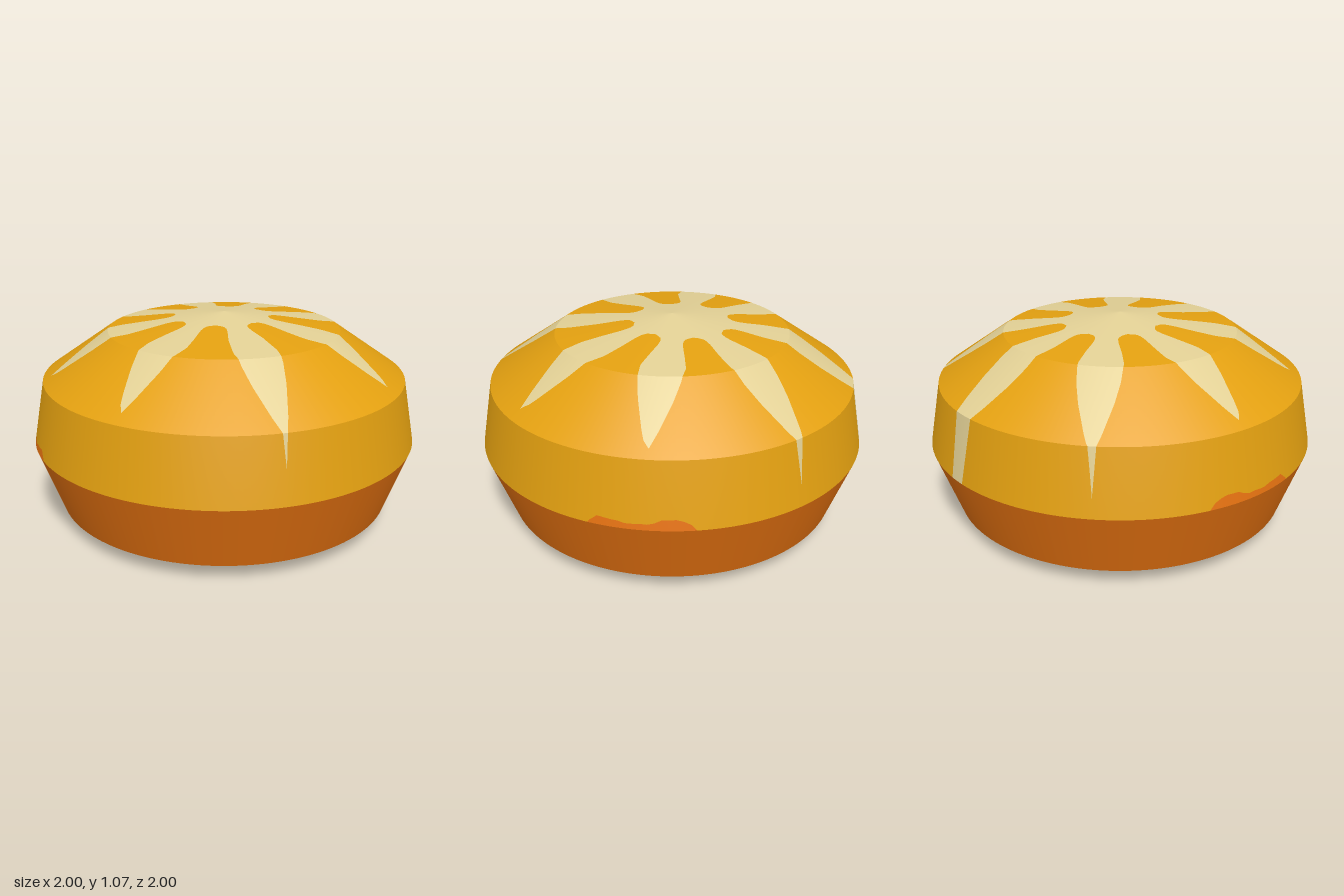
import * as THREE from 'three';

const SEGMENTS = 192;

const cream = new THREE.MeshStandardMaterial({ color: 0xe2d095 });
cream.name = 'cream';
const yellow = new THREE.MeshStandardMaterial({ color: 0xe3a010 });
yellow.name = 'golden yellow';
const orange = new THREE.MeshStandardMaterial({ color: 0xe47110 });
orange.name = 'burnt orange';

// Profile from the top centre down to the bottom centre: [radius, height]
const profile = [[0, 1.07], [0.6, 0.985], [0.94, 0.75], [1, 0.43], [0.88, 0.09], [0.49, 0], [0, 0]];

// Linear lookup in a list of [input, output]
function lookup(table, v) {
  if (v <= table[0][0]) return table[0][1];
  for (let i = 1; i < table.length; i++) {
    const [a, fa] = table[i - 1], [b, fb] = table[i];
    if (v <= b) return fa + (fb - fa) * (v - a) / (b - a);
  }
  return table[table.length - 1][1];
}

// Star pattern: eight petals around a slightly offset centre
const STAR_Z = -0.05;
const CORE = 0.24;
const petalLengths = [1.02, 0.935, 0.915, 0.955, 1.08, 0.955, 0.915, 0.935];
const petals = petalLengths.map((length, i) => ({
  dx: Math.sin(i * Math.PI / 4),
  dz: Math.cos(i * Math.PI / 4),
  width: [[0.2, 0.11], [0.23, 0.09], [0.25, 0.062], [0.28, 0.055], [0.32, 0.06], [0.42, 0.085],
    [0.56 * length, 0.106], [0.66 * length, 0.1], [0.76 * length, 0.08],
    [0.9 * length, 0.038], [length, 0], [length + 0.3, -0.1]],
}));

// Positive inside the star, negative outside
function starField(p) {
  const z = p.z - STAR_Z;
  let f = CORE - Math.hypot(p.x, z);
  for (const { dx, dz, width } of petals) {
    const along = p.x * dx + z * dz;
    if (along < 0.15) continue;
    const across = Math.abs(p.x * dz - z * dx);
    f = Math.max(f, lookup(width, along) - across);
  }
  return f;
}

// Wavy rise of the orange base on the left and right sides
const wave = [[-0.3, 0.41], [-0.28, 0.435], [-0.25, 0.465], [-0.2, 0.482], [-0.13, 0.48], [-0.08, 0.456],
  [-0.02, 0.46], [0.02, 0.452], [0.06, 0.462], [0.12, 0.466], [0.16, 0.472], [0.2, 0.44], [0.22, 0.41]];
const waveField = (p) => (Math.abs(p.x) < 0.7 ? -0.02 : lookup(wave, p.z) - p.y);

// Split a convex polygon along the zero line of a field
function split(poly, field) {
  const values = poly.map(field);
  const inside = [], outside = [];
  poly.forEach((p, i) => {
    const j = (i + 1) % poly.length;
    const a = values[i], b = values[j];
    (a > 0 ? inside : outside).push(p);
    if ((a > 0) !== (b > 0)) {
      const cut = p.clone().lerp(poly[j], a / (a - b));
      inside.push(cut);
      outside.push(cut);
    }
  });
  return [inside, outside];
}

// Collects faces with smooth round normals for one colour
class Patch {
  constructor() {
    this.positions = [];
    this.normals = [];
  }

  add(poly, slope, midAngle) {
    for (let i = 1; i < poly.length - 1; i++) {
      for (const p of [poly[0], poly[i], poly[i + 1]]) {
        const angle = Math.hypot(p.x, p.z) < 1e-4 ? midAngle : Math.atan2(p.x, p.z);
        this.positions.push(p.x, p.y, p.z);
        this.normals.push(slope.x * Math.sin(angle), slope.y, slope.x * Math.cos(angle));
      }
    }
  }

  mesh(name, material) {
    const geometry = new THREE.BufferGeometry();
    geometry.setAttribute('position', new THREE.Float32BufferAttribute(this.positions, 3));
    geometry.setAttribute('normal', new THREE.Float32BufferAttribute(this.normals, 3));
    const mesh = new THREE.Mesh(geometry, material);
    mesh.name = name;
    return mesh;
  }
}

// One conical band between two profile points, divided into coloured areas
function buildBand(index, rings, paint) {
  const [r0, y0] = profile[index], [r1, y1] = profile[index + 1];
  const slope = new THREE.Vector2(y0 - y1, r1 - r0).normalize();
  const point = (t, k) => {
    const angle = (k / SEGMENTS) * Math.PI * 2;
    const r = r0 + (r1 - r0) * t;
    return new THREE.Vector3(r * Math.sin(angle), y0 + (y1 - y0) * t, r * Math.cos(angle));
  };
  for (let i = 0; i < rings; i++) {
    const t0 = i / rings, t1 = (i + 1) / rings;
    for (let k = 0; k < SEGMENTS; k++) {
      const a = point(t0, k), b = point(t1, k), c = point(t1, k + 1), d = point(t0, k + 1);
      const mid = ((k + 0.5) / SEGMENTS) * Math.PI * 2;
      const emit = (patch, poly) => patch.add(poly, slope, mid);
      if (t0 > 0 || r0 > 0) paint([a, c, d], emit);
      if (t1 < 1 || r1 > 0) paint([a, b, c], emit);
    }
  }
}

export function createModel() {
  const group = new THREE.Group();
  group.name = 'roundBody';

  const topStar = new Patch(), upperShell = new Patch(), lowerShell = new Patch();
  const bottomStar = new Patch(), bottomDisc = new Patch();

  const paintStar = (star, ground) => (poly, emit) => {
    const [inside, outside] = split(poly, starField);
    emit(star, inside);
    emit(ground, outside);
  };
  const paintTop = paintStar(topStar, upperShell);

  // Cap and shoulder carry the star
  buildBand(0, 30, paintTop);
  buildBand(1, 20, paintTop);

  // Upper wall: wavy orange edge first, then the star on the rest
  buildBand(2, 20, (poly, emit) => {
    const [inside, outside] = split(poly, waveField);
    emit(lowerShell, inside);
    if (outside.length > 2) paintTop(outside, emit);
  });

  // Plain orange lower wall and underside slope
  const paintPlain = (poly, emit) => emit(lowerShell, poly);
  buildBand(3, 1, paintPlain);
  buildBand(4, 1, paintPlain);

  // Flat bottom repeats the star
  buildBand(5, 25, paintStar(bottomStar, bottomDisc));

  group.add(
    topStar.mesh('topStar', cream),
    upperShell.mesh('upperShell', yellow),
    lowerShell.mesh('lowerShell', orange),
    bottomStar.mesh('bottomStar', cream),
    bottomDisc.mesh('bottomDisc', yellow),
  );
  return group;
}
